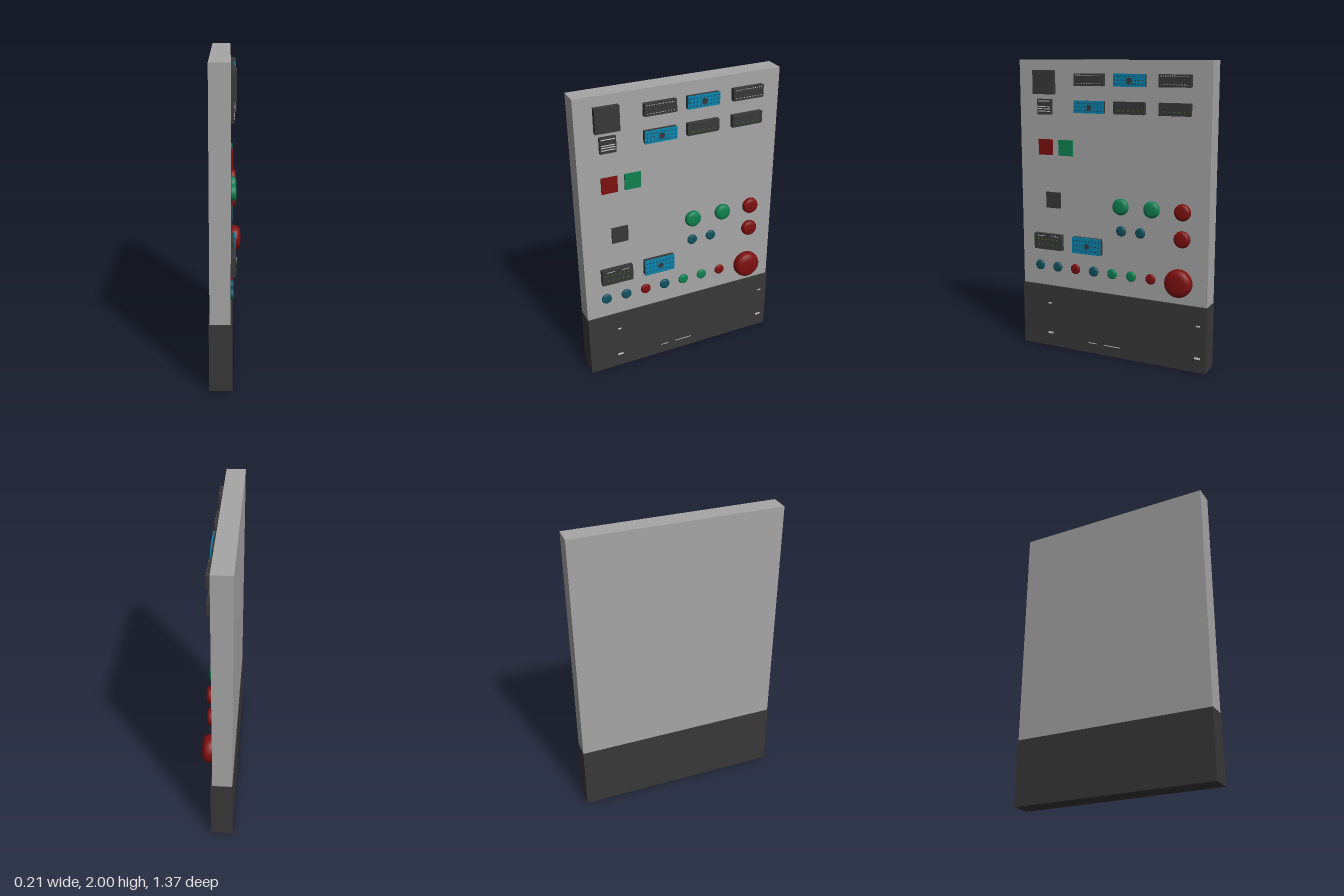
import * as THREE from 'three';
import { RoundedBoxGeometry } from 'three/addons/geometries/RoundedBoxGeometry.js';

const mat = (name, color) => {
  const m = new THREE.MeshStandardMaterial({ color });
  m.name = name;
  return m;
};

export function createModel() {
  const M = {
    grey: mat('panel grey', 0xa6a6a6),
    dark: mat('charcoal', 0x383838),
    red: mat('button red', 0x7d0f0f),
    green: mat('button green', 0x0f804f),
    teal: mat('button teal', 0x10525f),
    blue: mat('screen blue', 0x0784ae),
    white: mat('light mark', 0xd0d0d0),
    lime: mat('indicator lime', 0x4a8a2a),
  };
  const model = new THREE.Group();
  model.name = 'controlPanel';
  const FACE = 0.025; // x of the panel's working face

  // box given by its x, y and z ranges
  const box = (name, m, x0, x1, y0, y1, z0, z1, parent = model) => {
    const mesh = new THREE.Mesh(new THREE.BoxGeometry(x1 - x0, y1 - y0, z1 - z0), M[m]);
    mesh.position.set((x0 + x1) / 2, (y0 + y1) / 2, (z0 + z1) / 2);
    mesh.name = name;
    parent.add(mesh);
    return mesh;
  };

  // panel board and base
  box('panelBoard', 'grey', -0.102, FACE, 0.44, 2, -0.685, 0.685);
  box('base', 'dark', -0.107, 0.037, 0, 0.445, -0.687, 0.687);
  for (const z of [0.47, -0.63]) {
    box('baseMark', 'white', 0.037, 0.0385, 0.09, 0.105, z - 0.02, z + 0.02);
    box('baseMark', 'white', 0.037, 0.0385, 0.312, 0.322, z - 0.013, z + 0.013);
  }
  box('baseSeam', 'white', 0.037, 0.0385, 0.07, 0.075, -0.075, 0.05);
  box('baseSeam', 'white', 0.037, 0.0385, 0.07, 0.075, 0.105, 0.165);

  // row of small marks on a display face
  const marks = (g, m, y, z0, z1, n, w, h) => {
    for (let i = 0; i < n; i++) {
      const z = z0 + (z1 - z0) * (i + 0.5) / n;
      box('displayMark', m, 0.058, 0.0595, y - h / 2, y + h / 2, z - w / 2, z + w / 2, g);
    }
  };

  // display block: kind picks the face pattern
  const display = (name, kind, y0, y1, z0, z1) => {
    const g = new THREE.Group();
    g.name = name;
    model.add(g);
    box('displayBody', 'dark', FACE - 0.005, 0.058, y0, y1, z0, z1, g);
    const zc = (z0 + z1) / 2, yc = (y0 + y1) / 2, h = y1 - y0;
    if (kind === 'blue') {
      box('blueScreen', 'blue', 0.05, 0.0583, y0 - 0.001, y1 + 0.001, z0 - 0.001, z1 + 0.001, g);
      for (const r of [-0.3, 0, 0.3]) marks(g, 'dark', yc + r * h, z0, z1, 9, 0.008, 0.007);
      box('screenGap', 'dark', 0.058, 0.0595, yc - 0.02, yc + 0.015, zc - 0.02, zc + 0.012, g);
    } else if (kind === 'white') {
      marks(g, 'white', y1 - 0.01, z0 + 0.01, z1 - 0.01, 13, 0.008, 0.004);
      marks(g, 'white', y0 + 0.016, z0 + 0.01, z1 - 0.01, 10, 0.008, 0.004);
    } else {
      marks(g, 'lime', yc - 0.2 * h, z0 + 0.02, z1 - 0.02, 5, 0.008, 0.006);
      if (kind === 'mixed') {
        marks(g, 'white', y1 - 0.014, zc + 0.02, z1 - 0.03, 3, 0.018, 0.004);
        marks(g, 'white', y1 - 0.014, z0 + 0.02, zc - 0.03, 3, 0.016, 0.004);
        marks(g, 'lime', yc + 0.15 * h, z0 + 0.02, z1 - 0.02, 6, 0.008, 0.006);
      }
    }
  };
  display('upperDisplay', 'white', 1.834, 1.913, 0.042, 0.254);
  display('upperDisplay', 'blue', 1.834, 1.913, -0.248, -0.032);
  display('upperDisplay', 'white', 1.834, 1.913, -0.556, -0.345);
  display('middleDisplay', 'blue', 1.659, 1.738, 0.042, 0.254);
  display('middleDisplay', 'lime', 1.659, 1.738, -0.248, -0.032);
  display('middleDisplay', 'lime', 1.659, 1.738, -0.556, -0.345);
  display('lowerDisplay', 'mixed', 0.71, 0.82, 0.362, 0.576);
  display('lowerDisplay', 'blue', 0.71, 0.82, 0.064, 0.276);

  // large socket, striped counter and square keys
  box('socketBlock', 'dark', 0.02, 0.058, 1.775, 1.934, 0.41, 0.567);
  box('counter', 'dark', 0.02, 0.046, 1.64, 1.743, 0.435, 0.54);
  for (const y of [1.662, 1.678, 1.692, 1.73])
    box('counterStripe', 'white', 0.045, 0.0475, y - 0.003, y + 0.003, 0.443, 0.532);
  box('redKey', 'red', 0.02, 0.037, 1.367, 1.473, 0.435, 0.54);
  box('greenKey', 'green', 0.02, 0.037, 1.367, 1.473, 0.281, 0.387);
  box('darkKey', 'dark', 0.02, 0.037, 1.003, 1.112, 0.378, 0.488);

  // domed push buttons turned around the x axis
  const button = (name, m, y, z, r, h) => {
    const pts = [[0.82, 0], [0.93, 0.04], [0.985, 0.18], [1, 0.36], [0.98, 0.58], [0.92, 0.76],
      [0.8, 0.89], [0.62, 0.96], [0.35, 0.99], [0, 1]].map(([a, b]) => new THREE.Vector2(a * r, b * h));
    const mesh = new THREE.Mesh(new THREE.LatheGeometry(pts, 32), M[m]);
    mesh.rotation.z = -Math.PI / 2;
    mesh.position.set(FACE, y, z);
    mesh.name = name;
    model.add(mesh);
  };
  button('emergencyButton', 'red', 0.592, -0.496, 0.093, 0.077);
  button('largeButton', 'green', 1.055, -0.079, 0.055, 0.043);
  button('largeButton', 'green', 1.055, -0.299, 0.055, 0.043);
  button('largeButton', 'red', 1.055, -0.511, 0.055, 0.043);
  button('largeButton', 'red', 0.88, -0.511, 0.055, 0.043);
  button('smallButton', 'teal', 0.89, -0.079, 0.035, 0.02);
  button('smallButton', 'teal', 0.89, -0.217, 0.035, 0.02);
  ['teal', 'teal', 'red', 'teal', 'green', 'green', 'red'].forEach((m, i) =>
    button('rowButton', m, 0.588, 0.547 - i * 0.14, 0.035, 0.02));

  return model;
}
